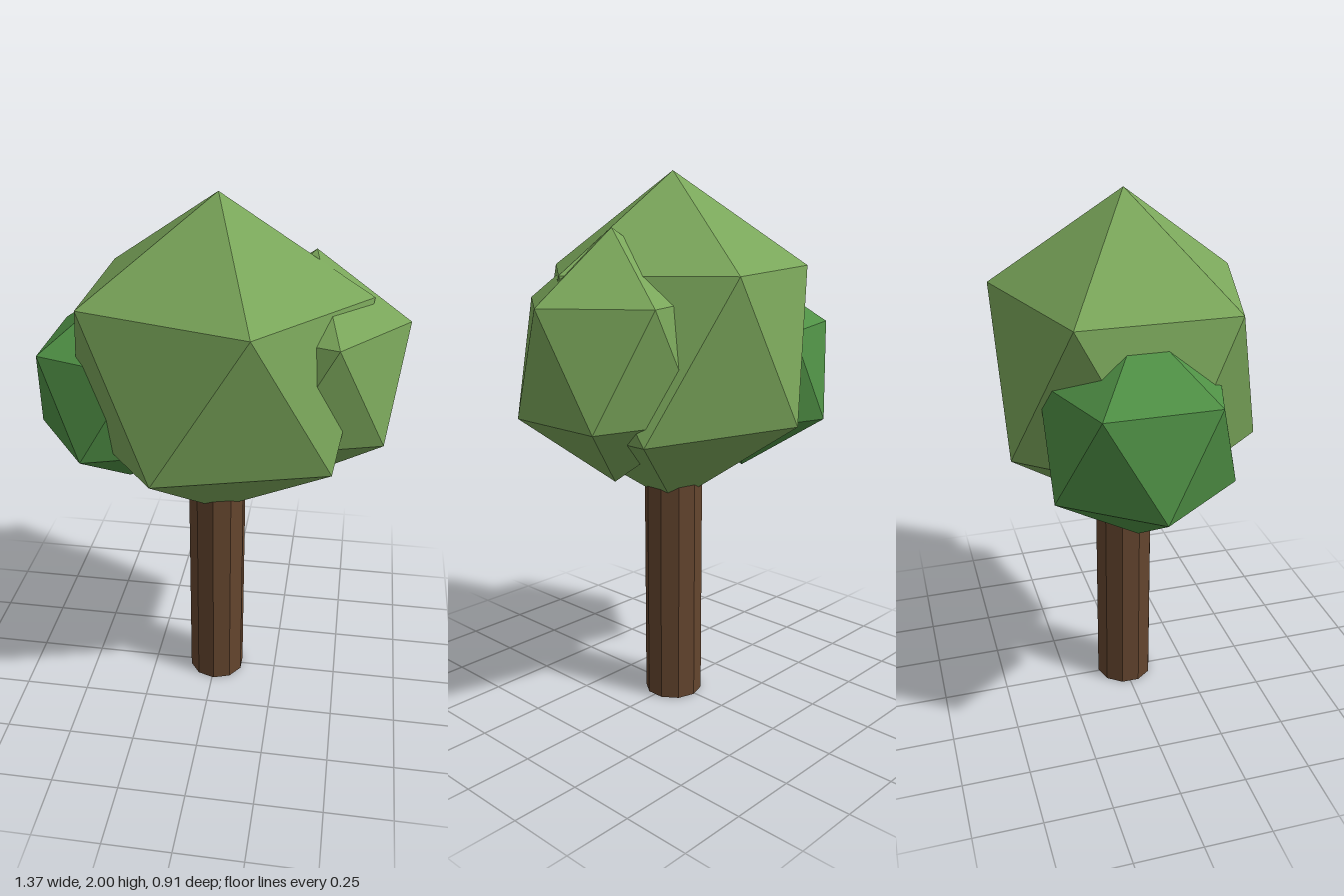
import * as THREE from 'three';
import { ConvexGeometry } from 'three/addons/geometries/ConvexGeometry.js';

// Icosahedron standing on a vertex, with its upper ring pointing along +x (or -x when flipped)
function foliageClump(name, color, center, radii, flip = false) {
  const points = [new THREE.Vector3(0, 1, 0), new THREE.Vector3(0, -1, 0)];
  const ringY = 1 / Math.sqrt(5), ringR = 2 / Math.sqrt(5);
  for (let i = 0; i < 10; i++) {
    const a = (i * Math.PI) / 5;
    const upper = i % 2 === 0 ? 1 : -1;
    points.push(new THREE.Vector3(Math.cos(a) * ringR, upper * ringY, Math.sin(a) * ringR));
  }
  const scale = new THREE.Vector3(...radii);
  if (flip) points.forEach((p) => { p.x *= -1; });
  points.forEach((p) => p.multiply(scale));
  const mesh = new THREE.Mesh(
    new ConvexGeometry(points),
    new THREE.MeshStandardMaterial({ color, flatShading: true })
  );
  mesh.name = name;
  mesh.position.set(...center);
  return mesh;
}

export function createModel() {
  const tree = new THREE.Group();
  tree.name = 'tree';

  // Ten-sided trunk, its top hidden inside the crown
  const trunk = new THREE.Mesh(
    new THREE.CylinderGeometry(0.11, 0.11, 1, 10),
    new THREE.MeshStandardMaterial({ color: 0x64452e, flatShading: true })
  );
  trunk.name = 'trunk';
  trunk.position.set(0.006, 0.5, 0);
  tree.add(trunk);

  // Three overlapping foliage clumps
  tree.add(
    foliageClump('mainCrown', 0x7aa65a, [0.008, 1.385, 0], [0.604, 0.615, 0.535]),
    foliageClump('leftClump', 0x7aa65a, [0.342, 1.37, -0.034], [0.378, 0.44, 0.358]),
    foliageClump('rightClump', 0x4f9045, [-0.348, 1.255, -0.046], [0.377, 0.395, 0.373])
  );
  return tree;
}
